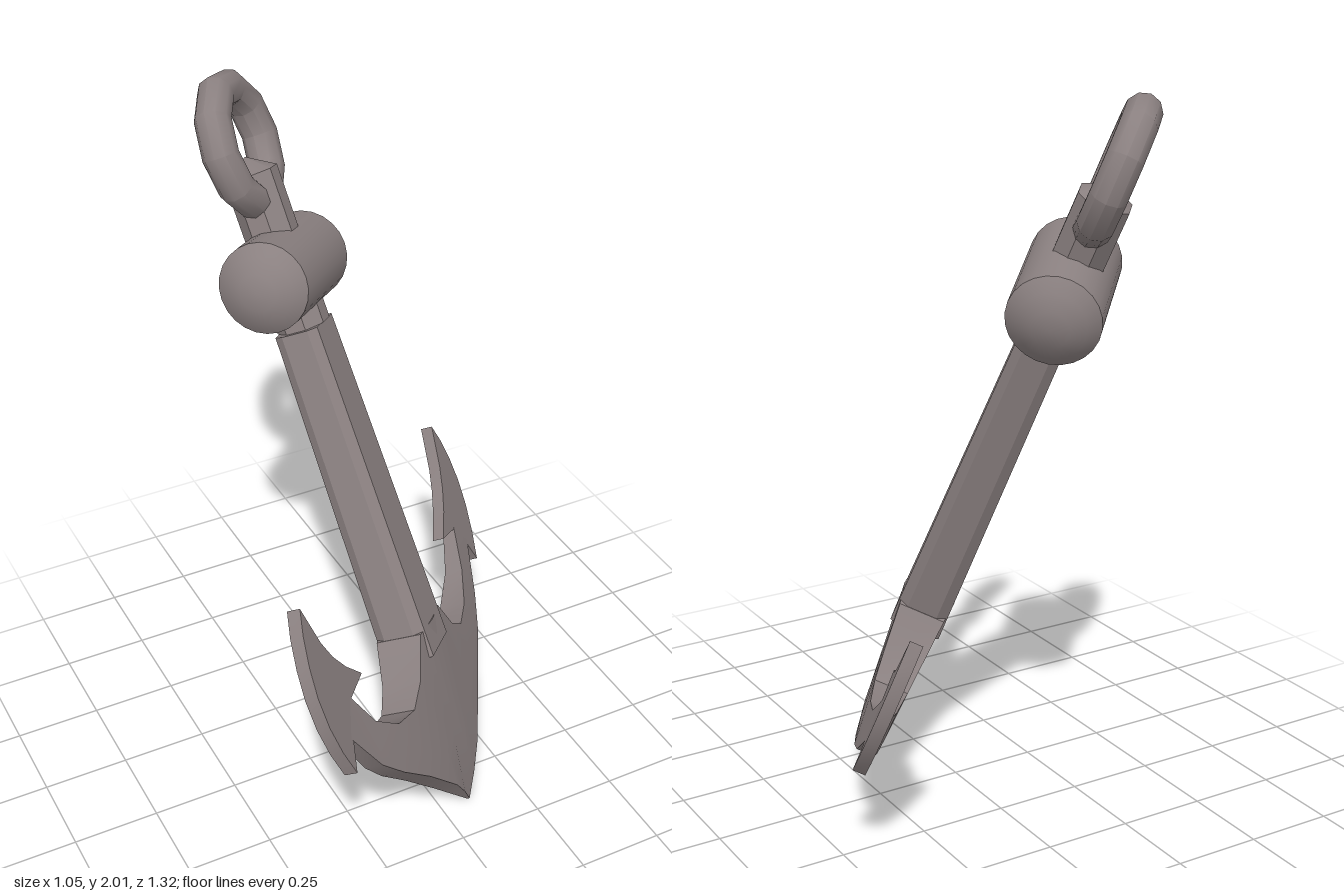
import * as THREE from 'three';
import { toCreasedNormals } from 'three/addons/utils/BufferGeometryUtils.js';

const iron = new THREE.MeshStandardMaterial({ color: 0x8a8080, roughness: 0.8 });

function part(name, geometry, crease = 0.6) {
  const mesh = new THREE.Mesh(toCreasedNormals(geometry, crease), iron);
  mesh.name = name;
  return mesh;
}

// Closed skin over a row of equal-sized rings of [x, y, z] points
function loft(rings) {
  const n = rings[0].length;
  const last = (rings.length - 1) * n;
  const index = [];
  for (let i = 0; i < rings.length - 1; i++) {
    for (let j = 0; j < n; j++) {
      const a = i * n + j, b = i * n + (j + 1) % n;
      index.push(a, b, b + n, a, b + n, a + n);
    }
  }
  for (let j = 1; j < n - 1; j++) {
    index.push(0, j + 1, j, last, last + j, last + j + 1);
  }
  const g = new THREE.BufferGeometry();
  g.setAttribute('position', new THREE.Float32BufferAttribute(rings.flat(2), 3));
  g.setIndex(index);
  return g;
}

// Shank: tapered bar with chamfered corners
function shank() {
  const section = [[0.1, 0.045], [0.1, -0.045], [0.08, -0.075], [-0.08, -0.075],
    [-0.1, -0.045], [-0.1, 0.045], [-0.08, 0.075], [0.08, 0.075]];
  const ring = (y, s) => section.map(([x, z]) => [x * s, y, z * s]);
  return part('shank', loft([ring(0.5, 1), ring(1.5, 0.84)]), 0.3);
}

// Crown and both arms: sections from one fluke through the pointed crown to the other
function arms() {
  // inner x, y, half thickness, outer x, y, half thickness
  const half = [
    [0.10, 0.58, 0.068, 0.06, 0.055, 0.022],
    [0.19, 0.48, 0.058, 0.13, 0.115, 0.035],
    [0.28, 0.437, 0.05, 0.30, 0.24, 0.038],
    [0.39, 0.455, 0.04, 0.45, 0.34, 0.034],
    [0.50, 0.525, 0.028, 0.55, 0.42, 0.026],
    [0.58, 0.64, 0.018, 0.66, 0.56, 0.018],
  ];
  const mirrored = half.map(([a, b, c, d, e, f]) => [-a, b, c, -d, e, f]).reverse();
  const stations = [...mirrored, [0, 0.58, 0.078, 0, 0, 0.004], ...half];
  const mix = (a, b) => a + (b - a) * 0.35;
  const rings = stations.map(([ix, iy, ih, ox, oy, oh]) => {
    const mx = mix(ox, ix), my = mix(oy, iy), mh = oh + (ih - oh) * 0.65;
    return [[ix, iy, -ih], [ix, iy, ih], [mx, my, mh], [ox, oy, oh], [ox, oy, -oh], [mx, my, -mh]];
  });
  return part('crownAndArms', loft(rings));
}

// Fluke: thin barbed blade
function fluke(side) {
  const outline = [[0.683, 0.945], [0.72, 0.885], [0.748, 0.81], [0.762, 0.73], [0.757, 0.645],
    [0.733, 0.56], [0.695, 0.48], [0.65, 0.55], [0.575, 0.635], [0.46, 0.65], [0.54, 0.71],
    [0.595, 0.765], [0.635, 0.825]];
  const shape = new THREE.Shape(outline.map(([x, y]) => new THREE.Vector2(side * x, y)));
  const g = new THREE.ExtrudeGeometry(shape, { depth: 0.036, bevelEnabled: false });
  g.translate(0, 0, -0.018);
  return part(side > 0 ? 'leftFluke' : 'rightFluke', g);
}

function lathe(points, segments) {
  return new THREE.LatheGeometry(points.map(([r, y]) => new THREE.Vector2(r, y)), segments);
}

export function createModel() {
  const model = new THREE.Group();
  model.name = 'anchor';

  // The anchor is built upright with its tip at the origin, then leaned
  const body = new THREE.Group();
  body.name = 'leaningAnchor';
  body.add(shank(), arms(), fluke(1), fluke(-1));

  // Stock: round crossbar with low domed ends
  const stock = lathe([[0, -0.237], [0.05, -0.23], [0.092, -0.21], [0.125, -0.18],
    [0.125, 0.18], [0.092, 0.21], [0.05, 0.23], [0, 0.237]], 24);
  stock.rotateZ(-Math.PI / 2).translate(0, 1.66, 0);
  body.add(part('stock', stock, 0.45));

  // Head: eight-sided peg that holds the ring
  const head = lathe([[0.075, 1.5], [0.075, 1.94], [0, 1.985]], 8);
  head.rotateY(Math.PI / 8);
  body.add(part('head', head, 0.5));

  // Ring
  const ring = new THREE.TorusGeometry(0.156, 0.05, 10, 10);
  ring.translate(0, 2.02, 0);
  body.add(part('ring', ring, 0.7));

  const across = new THREE.Vector3(0.666, -0.227, -0.71).normalize();
  const up = new THREE.Vector3(-0.132, 0.897, -0.421);
  up.addScaledVector(across, -up.dot(across)).normalize();
  const facing = new THREE.Vector3().crossVectors(across, up);
  body.quaternion.setFromRotationMatrix(new THREE.Matrix4().makeBasis(across, up, facing));
  body.position.set(0.09, 0.005, 0.37);
  model.add(body);
  return model;
}
